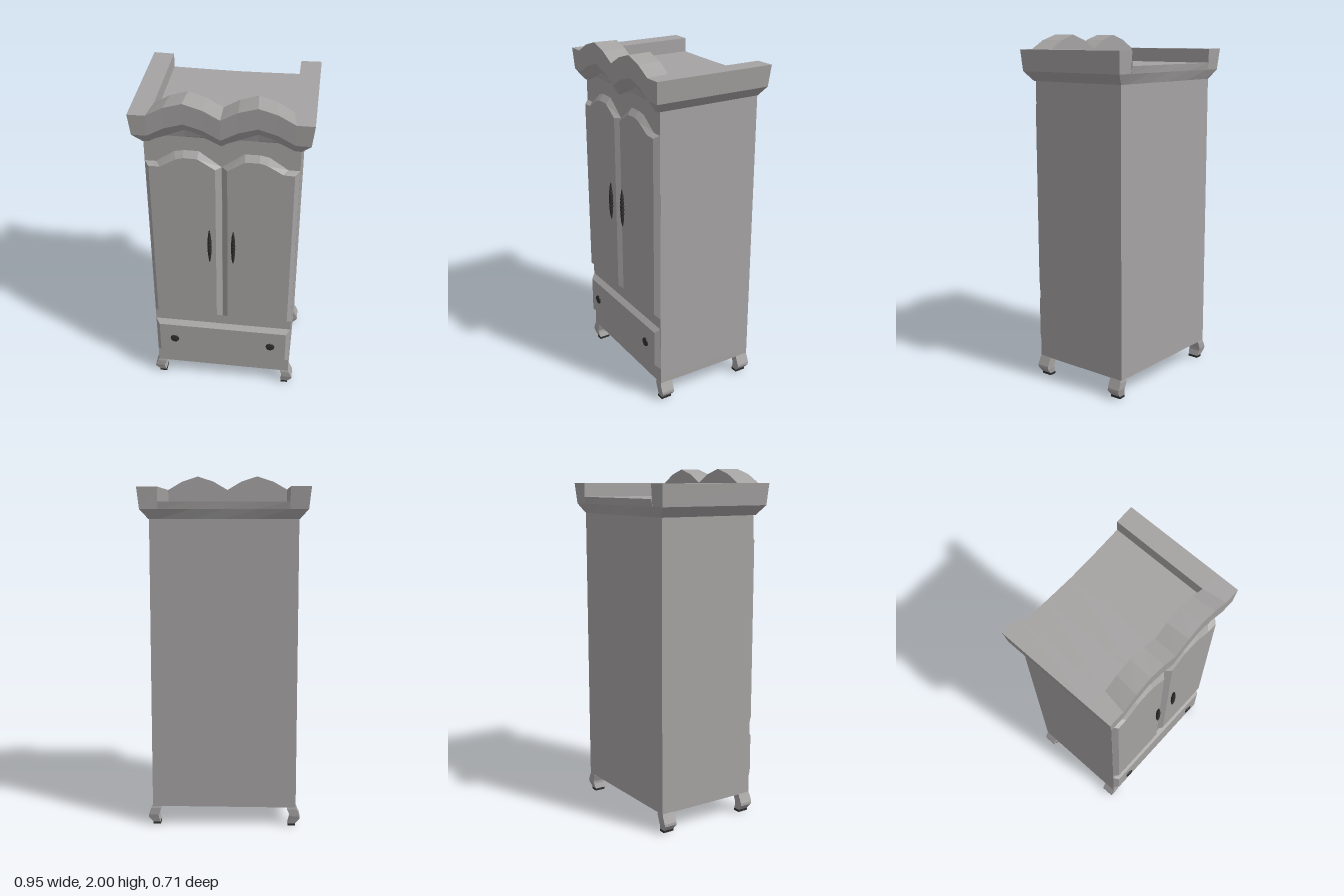
import * as THREE from 'three';

const wood = new THREE.MeshStandardMaterial({ color: 0xa5a2a2, flatShading: true, side: THREE.DoubleSide });
wood.name = 'grey wood';
const iron = new THREE.MeshStandardMaterial({ color: 0x2e2e2e, flatShading: true });
iron.name = 'dark iron';

// Skin rows of [x, y, z] points that all have the same length
function loft(rows, closed = false) {
  const n = rows[0].length, index = [];
  for (let r = 0; r < rows.length - 1; r++) {
    for (let i = 0; i < (closed ? n : n - 1); i++) {
      const a = r * n + i, b = r * n + (i + 1) % n;
      index.push(a, b, b + n, a, b + n, a + n);
    }
  }
  const geo = new THREE.BufferGeometry();
  geo.setAttribute('position', new THREE.Float32BufferAttribute(rows.flat(2), 3));
  geo.setIndex(index);
  const flat = geo.toNonIndexed();
  flat.computeVertexNormals();
  return flat;
}

function add(parent, name, geo, mat, x = 0, y = 0, z = 0) {
  const mesh = new THREE.Mesh(geo, mat);
  mesh.name = name;
  mesh.position.set(x, y, z);
  parent.add(mesh);
  return mesh;
}

// Raised panel: bevel from an outer to an inner outline, then a flat face
function addPanel(parent, name, outer, inner, side = 1) {
  const flip = pts => side > 0 ? pts : pts.map(([x, y]) => [-x, y]).reverse();
  const o = flip(outer), i = flip(inner), z = 0.328;
  const panel = new THREE.Group();
  panel.name = name;
  add(panel, name + 'Bevel', loft([o.map(p => [...p, 0.299]), i.map(p => [...p, z])], true), wood);
  const shape = new THREE.Shape(i.map(p => new THREE.Vector2(...p)));
  add(panel, name + 'Face', new THREE.ShapeGeometry(shape), wood, 0, 0, z);
  parent.add(panel);
}

const rect = (x, y0, y1) => [[-x, y0], [x, y0], [x, y1], [-x, y1]];

// Crown with a double-arched front
const ARCH = [0, 0, 0.05, 0.08, 0.05, 0, 0.05, 0.08, 0.05, 0, 0];
const ARCH_X = [-0.38, -0.29, -0.19, -0.09, 0, 0.09, 0.19, 0.29, 0.38];
const DECK = 1.84;

function crownRing(hx, zf, zb, y, { arch = 1, maxY = 9, backY = y, sag = 0 } = {}) {
  const front = [-hx, ...ARCH_X, hx].map((x, i) => [x, Math.min(y + ARCH[i] * arch, maxY), zf]);
  const back = [[hx, y, zb], [0.36, y, zb + sag * 0.3], [0.36, backY, zb + sag * 0.3],
    [0.18, backY, zb + sag * 0.75], [0, backY, zb + sag], [-0.18, backY, zb + sag * 0.75],
    [-0.36, backY, zb + sag * 0.3], [-0.36, y, zb + sag * 0.3], [-hx, y, zb]];
  return [...front, ...back];
}

function addCrown(parent) {
  const crown = new THREE.Group();
  crown.name = 'crown';
  add(crown, 'crownMoulding', loft([
    crownRing(0.41, 0.3, -0.316, 1.7, { arch: 0 }),
    crownRing(0.41, 0.3, -0.316, 1.745, { maxY: 1.78 }),
    crownRing(0.412, 0.312, -0.317, 1.745, { arch: 1.05 }),
    crownRing(0.46, 0.348, -0.345, 1.8, { sag: 0.01 }),
    crownRing(0.473, 0.355, -0.355, 1.92, { backY: DECK, sag: 0.015 }),
  ], true), wood);

  // Arched pediment top and its back wall
  const archRow = (s, z) => ARCH_X.map((x, i) => [x * s, 1.92 + ARCH[i + 1], z]);
  const rear = archRow(0.36 / 0.38, 0.22);
  add(crown, 'pediment', loft([archRow(1, 0.355), rear, rear.map(([x, , z]) => [x, DECK, z])]), wood);

  // Raised side rails
  for (const s of [-1, 1]) {
    const order = pts => s > 0 ? pts : pts.reverse();
    const row = (xi, z, zi = z) => order([[s * xi, 1.92, zi], [s * 0.473, 1.92, z]]);
    const wall = y => order([[s * 0.36, y, -0.3505], [s * 0.36, y, 0.22]]);
    add(crown, 'railTop', loft([row(0.38, 0.355), row(0.36, 0.22), row(0.36, -0.355, -0.3505)]), wood);
    add(crown, 'railInnerWall', loft([wall(DECK), wall(1.92)]), wood);
  }

  // Sunken roof deck with a gently curved back edge
  const xs = [-0.36, -0.18, 0, 0.18, 0.36];
  const edge = [-0.3505, -0.3438, -0.34, -0.3438, -0.3505];
  add(crown, 'roofDeck', loft([xs.map(x => [x, DECK, 0.22]), xs.map((x, i) => [x, DECK, edge[i]])]), wood);
  parent.add(crown);
}

// Hollow base frame with a wavy inside front edge
function addBaseFrame(parent) {
  const frame = new THREE.Shape([[-0.41, -0.3], [0.41, -0.3], [0.41, 0.316], [-0.41, 0.316]]
    .map(p => new THREE.Vector2(...p)));
  const hole = [new THREE.Vector2(-0.36, 0.27), new THREE.Vector2(0.36, 0.27)];
  for (let i = 0; i <= 12; i++) {
    const x = 0.36 - i * 0.06;
    hole.push(new THREE.Vector2(x, -0.26 - 0.012 * Math.cos(x / 0.36 * Math.PI * 2)));
  }
  frame.holes.push(new THREE.Path(hole));
  const geo = new THREE.ExtrudeGeometry(frame, { depth: 0.04, bevelEnabled: false });
  geo.rotateX(-Math.PI / 2);
  add(parent, 'baseFrame', geo, wood, 0, 0.112, 0);
}

// Curved leg: sections of [y, inner x, outer x, back z, front z]
function addLeg(parent, sx, front) {
  const sections = [
    [0.012, 0.368, 0.408, 0.23, 0.292], [0.045, 0.378, 0.435, 0.226, 0.3],
    [0.06, 0.378, 0.434, 0.226, 0.304], [0.1, 0.362, 0.416, 0.225, 0.304], [0.114, 0.36, 0.41, 0.225, 0.3]];
  const sz = front ? 1 : -1, shift = front ? 0 : -0.012;
  const rows = sections.map(([y, xi, xo, zb, zf]) => {
    const ring = [[xi, zf], [xo, zf], [xo, zb], [xi, zb]].map(([x, z]) => [x * sx, y, z * sz + shift]);
    return sx * sz > 0 ? ring : ring.reverse();
  });
  const leg = new THREE.Group();
  leg.name = front ? 'frontLeg' : 'backLeg';
  add(leg, 'legShaft', loft(rows, true), wood);
  add(leg, 'footPad', new THREE.BoxGeometry(0.042, 0.013, 0.064), iron, sx * 0.388, 0.0065, sz * 0.261 + shift);
  parent.add(leg);
}

export function createModel() {
  const wardrobe = new THREE.Group();
  wardrobe.name = 'wardrobe';

  add(wardrobe, 'carcass', new THREE.BoxGeometry(0.82, 1.595, 0.616), wood, 0, 0.9425, -0.008);
  addBaseFrame(wardrobe);
  addCrown(wardrobe);

  // Arched doors and the drawer
  const doorOuter = [[0, 0.54], [0.41, 0.54], [0.41, 1.62], [0.35, 1.62], [0.25, 1.69], [0.2, 1.7], [0.12, 1.7], [0, 1.61]];
  const doorInner = [[0.032, 0.567], [0.386, 0.567], [0.386, 1.602], [0.325, 1.605], [0.24, 1.655], [0.2, 1.667],
    [0.125, 1.665], [0.032, 1.605]];
  for (const s of [-1, 1]) addPanel(wardrobe, s > 0 ? 'leftDoor' : 'rightDoor', doorOuter, doorInner, s);
  addPanel(wardrobe, 'drawer', rect(0.41, 0.21, 0.475), rect(0.386, 0.235, 0.45));

  // Beaded spindle handles and round drawer knobs
  const spindle = [];
  for (let i = 0; i <= 20; i++) {
    const t = i / 10 - 1;
    spindle.push(new THREE.Vector2(Math.max(0.0005, 0.013 * (1 - t * t) ** 0.7 * (i % 2 ? 1 : 0.8)), t * 0.115));
  }
  const knob = [[0, 0], [0.012, 0], [0.014, 0.005], [0.027, 0.007], [0.025, 0.013], [0, 0.016]]
    .map(p => new THREE.Vector2(...p));
  for (const s of [-1, 1]) {
    add(wardrobe, 'doorHandle', new THREE.LatheGeometry(spindle, 10), iron, s * 0.066, 1.105, 0.343);
    add(wardrobe, 'drawerKnob', new THREE.LatheGeometry(knob, 12), iron, s * 0.294, 0.345, 0.326).rotation.x = Math.PI / 2;
    addLeg(wardrobe, s, true);
    addLeg(wardrobe, s, false);
  }
  return wardrobe;
}
